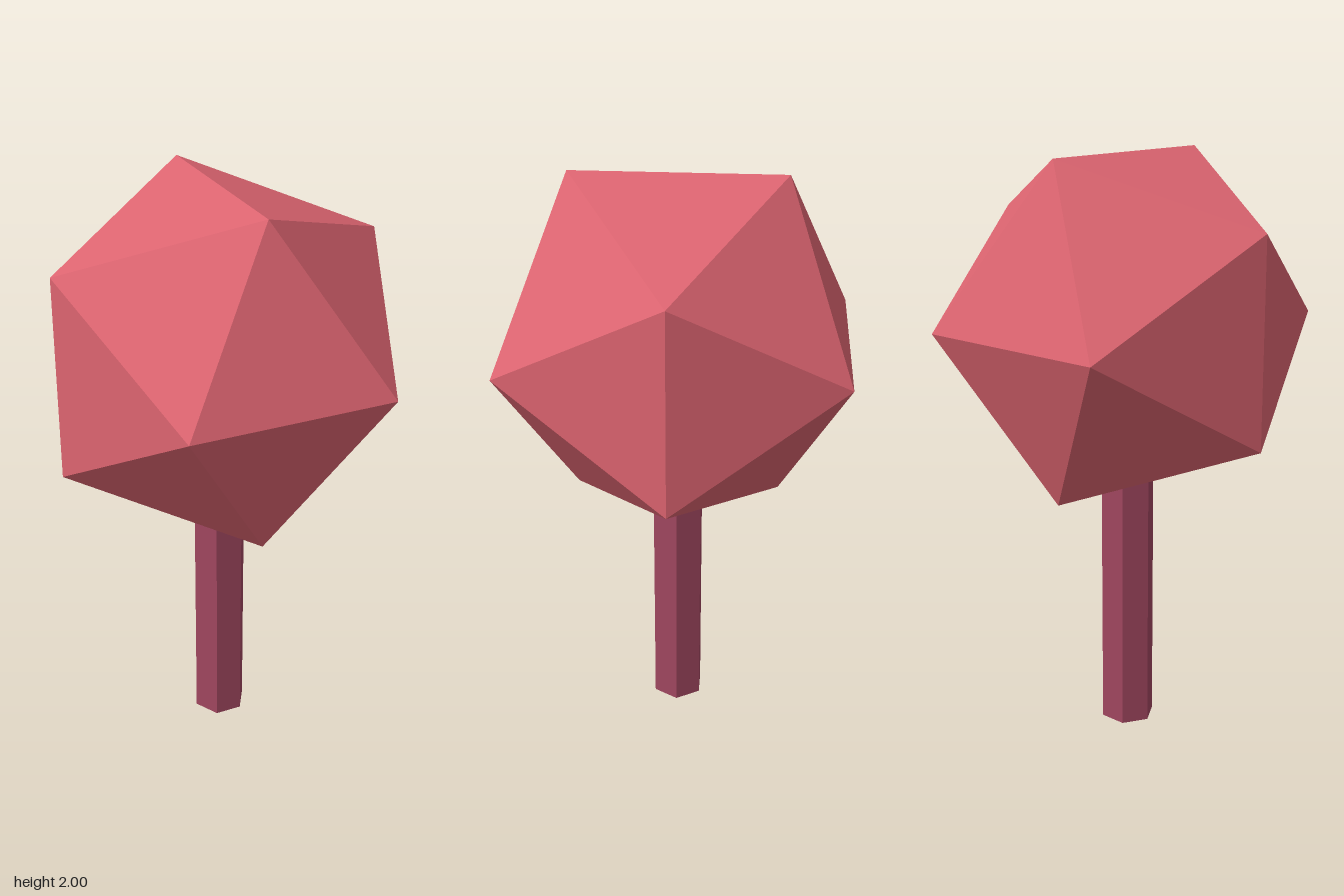
import * as THREE from 'three';

export function createModel() {
  const model = new THREE.Group();
  model.name = 'lowPolyTree';

  const crownRed = new THREE.MeshStandardMaterial({ name: 'crownRed', color: 0xdc6470, flatShading: true });
  const trunkPlum = new THREE.MeshStandardMaterial({
    name: 'trunkPlum', color: 0xa0465f, flatShading: true, side: THREE.DoubleSide,
  });

  // Crown: icosahedron turned so its top and bottom edges run front to back
  const crownGeometry = new THREE.IcosahedronGeometry(0.656, 0);
  crownGeometry.rotateY(Math.PI / 2);
  const crown = new THREE.Mesh(crownGeometry, crownRed);
  crown.name = 'crown';
  crown.position.y = 1.442;
  model.add(crown);

  // Trunk: open six-sided tube with corners to the left and right
  const trunkHeight = 1;
  const trunkGeometry = new THREE.CylinderGeometry(0.094, 0.094, trunkHeight, 6, 1, true);
  trunkGeometry.rotateY(Math.PI / 6);
  const trunk = new THREE.Mesh(trunkGeometry, trunkPlum);
  trunk.name = 'trunk';
  trunk.position.y = trunkHeight / 2;
  model.add(trunk);

  return model;
}
